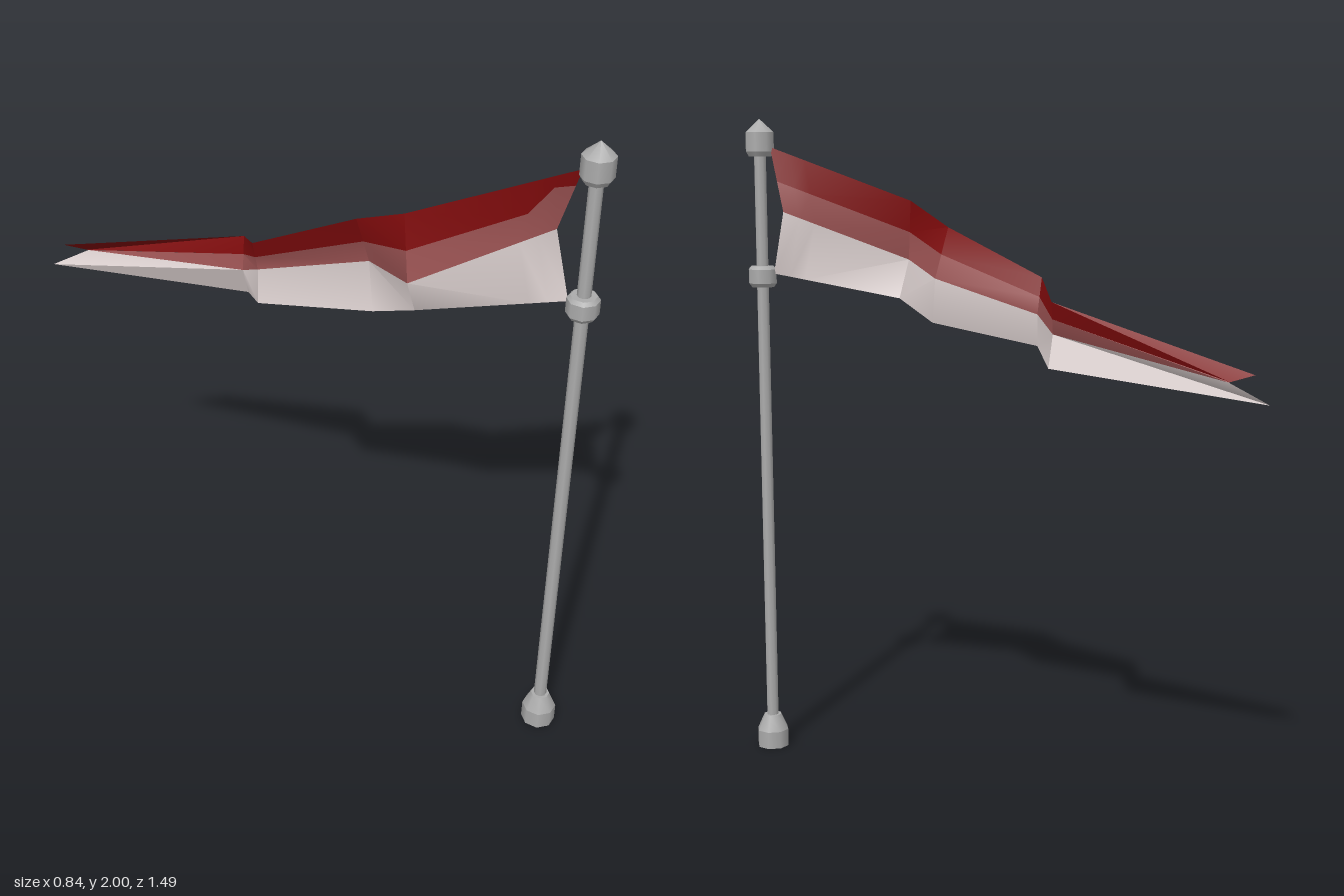
import * as THREE from 'three';
import { mergeGeometries, toCreasedNormals } from 'three/addons/utils/BufferGeometryUtils.js';

const mat = (name, color) => {
  const m = new THREE.MeshStandardMaterial({ color });
  m.name = name;
  return m;
};

export function createModel() {
  const model = new THREE.Group();
  model.name = 'bannerPole';
  const metal = mat('greyMetal', 0xacacac);
  const cloth = [mat('deepRed', 0x800b0c), mat('dustyRed', 0x9a5252), mat('paleCloth', 0xd8cdcc)];

  // Eight-sided turned parts: smooth around the axis, sharp between profile segments
  const turned = (name, profile) => {
    const pts = profile.map(([r, y]) => new THREE.Vector2(r, y));
    const rings = pts.slice(1).map((p, i) => new THREE.LatheGeometry([pts[i], p], 8));
    const mesh = new THREE.Mesh(mergeGeometries(rings), metal);
    mesh.name = name;
    mesh.position.set(0.37, 0, 0.695);
    model.add(mesh);
  };
  turned('base', [[0, 0], [0.051, 0], [0.051, 0.055], [0.028, 0.105], [0, 0.105]]);
  turned('pole', [[0.019, 0.1], [0.019, 1.9]]);
  turned('lowerRing', [[0.018, 1.488], [0.036, 1.488], [0.045, 1.5], [0.045, 1.543], [0.036, 1.553], [0.018, 1.553]]);
  turned('finial', [[0, 1.887], [0.036, 1.887], [0.045, 1.902], [0.045, 1.96], [0, 2]]);

  // Flag folds from the pole to the forked tip: top, middle and bottom points
  const folds = [
    [[0.35, 1.915, 0.665], [0.34, 1.72, 0.605], [0.345, 1.53, 0.665]],
    [[0.035, 1.755, 0.36], [0.015, 1.575, 0.405], [0.065, 1.46, 0.38]],
    [[0.0, 1.68, 0.205], [0.05, 1.53, 0.2], [0.035, 1.395, 0.24]],
    [[-0.16, 1.54, -0.05], [-0.13, 1.435, -0.07], [-0.145, 1.34, -0.05]],
    [[-0.1, 1.48, -0.18], [-0.12, 1.385, -0.16], [-0.09, 1.29, -0.18]],
    [[-0.4, 1.305, -0.705], [-0.34, 1.285, -0.665], [-0.42, 1.225, -0.745]],
  ].map(f => f.map(p => new THREE.Vector3(...p)));
  // Extra columns near the pole, where the dusty stripe widens on one side
  const between = t => folds[0].map((p, i) => p.clone().lerp(folds[1][i], t));
  folds.splice(1, 0, between(0.13), between(0.25));

  // One face of the cloth; splits give the lower edge of the red stripe at each column
  const clothSide = (name, flip, offset, splits) => {
    const rows = [
      folds.map(f => f[0]),
      folds.map((f, i) => f[0].clone().lerp(f[1], splits[i])),
      folds.map(f => f[1]),
      folds.map(f => f[2]),
    ];
    const last = folds.length - 2;
    const pos = [];
    const g = new THREE.BufferGeometry();
    for (let band = 0; band < 3; band++) {
      const start = pos.length / 3;
      for (let i = 0; i <= last; i++) {
        const [a, b, c, d] = [rows[band][i], rows[band][i + 1], rows[band + 1][i + 1], rows[band + 1][i]];
        // The forked end folds along the other diagonal
        const triangles = i === last ? [[a, b, c], [a, c, d]] : [[a, b, d], [b, c, d]];
        for (const [p, q, r] of triangles) {
          for (const v of flip ? [p, r, q] : [p, q, r]) pos.push(v.x, v.y, v.z);
        }
      }
      g.addGroup(start, pos.length / 3 - start, band);
    }
    g.setAttribute('position', new THREE.Float32BufferAttribute(pos, 3));
    const mesh = new THREE.Mesh(toCreasedNormals(g, 0.6), cloth);
    mesh.name = name;
    // A hair of thickness keeps the two faces apart
    mesh.position.set(-offset, 0, offset / 2);
    model.add(mesh);
  };
  clothSide('flagFront', false, 0.001, [0.27, 0.2, 0.53, 0.53, 0.53, 0.53, 0.53, 0.95]);
  clothSide('flagBack', true, -0.001, [0.53, 0.53, 0.53, 0.53, 0.53, 0.53, 0.53, 0.95]);
  return model;
}
